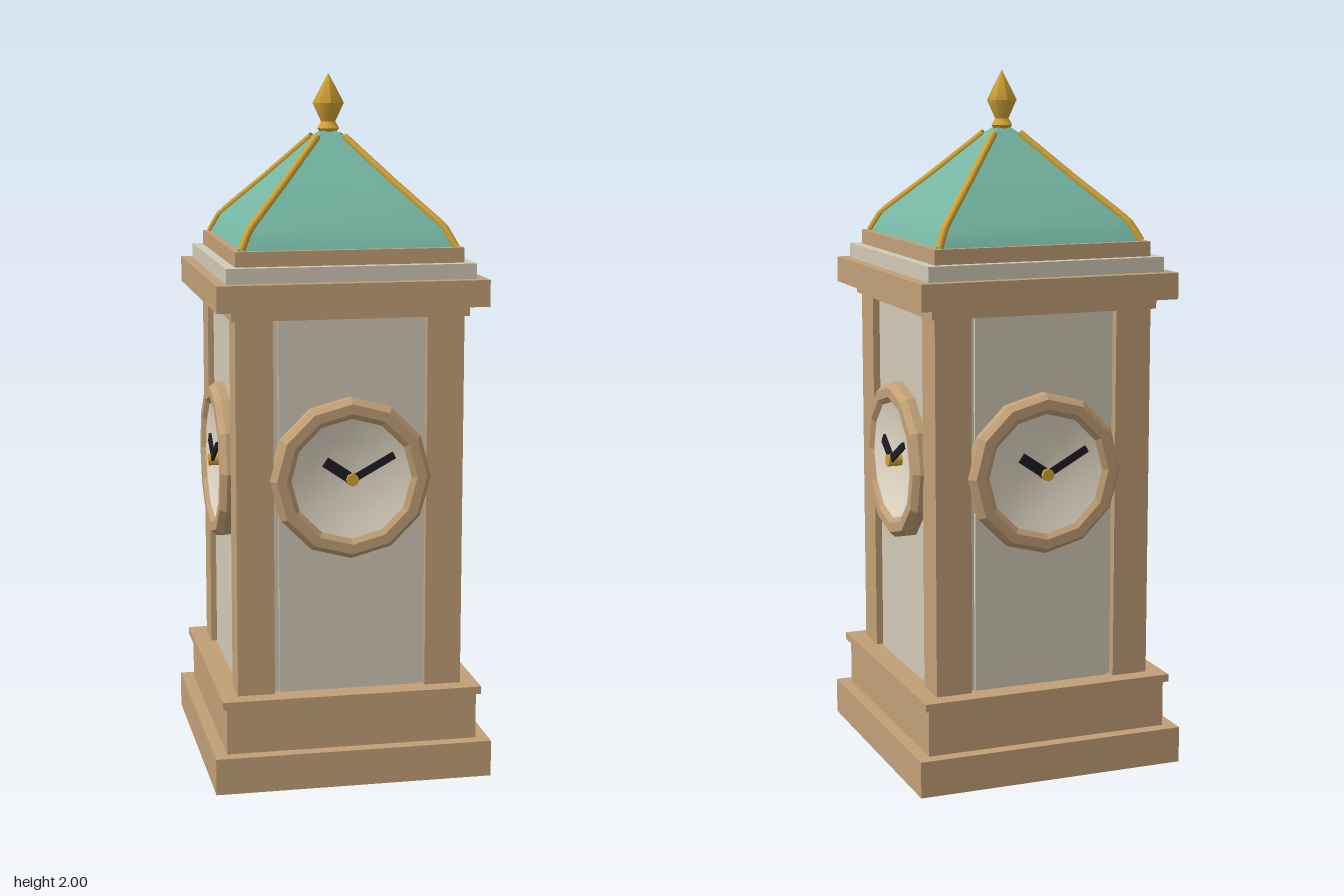
import * as THREE from 'three';
import { toCreasedNormals } from 'three/addons/utils/BufferGeometryUtils.js';

const mat = (name, color) => {
  const m = new THREE.MeshStandardMaterial({ color });
  m.name = name;
  return m;
};
const wood = mat('tan stone', 0xc2a077);
const stone = mat('pale stone', 0xd2cab7);
const copper = mat('green copper', 0x74b5a1);
const gold = mat('gold', 0xd4a537);
gold.side = THREE.DoubleSide;
const cream = mat('cream dial', 0xf0e6d2);
const black = mat('black', 0x1c1c22);

function add(parent, name, geometry, material, x = 0, y = 0, z = 0) {
  const mesh = new THREE.Mesh(geometry, material);
  mesh.name = name;
  mesh.position.set(x, y, z);
  parent.add(mesh);
  return mesh;
}

// Square slab given by half width and its bottom and top heights
const slab = (parent, name, half, y0, y1, material) =>
  add(parent, name, new THREE.BoxGeometry(half * 2, y1 - y0, half * 2), material, 0, (y0 + y1) / 2, 0);

const lathe = (points, sides) =>
  new THREE.LatheGeometry(points.map(([r, h]) => new THREE.Vector2(r, h)), sides);

// Roof profile: half width, height
const roofProfile = [[0.303, 1.525], [0.275, 1.58], [0.16, 1.695], [0.04, 1.82], [0.004, 1.85]];

// One side of the bell-shaped roof, facing +z
function roofSide() {
  const pos = [], idx = [];
  roofProfile.forEach(([r, y], i) => {
    pos.push(-r, y, r, r, y, r);
    if (i) {
      const a = i * 2 - 2;
      idx.push(a, a + 1, a + 3, a, a + 3, a + 2);
    }
  });
  const g = new THREE.BufferGeometry();
  g.setAttribute('position', new THREE.Float32BufferAttribute(pos, 3));
  g.setIndex(idx);
  g.computeVertexNormals();
  return g;
}

// Flat hand starting at the dial centre
function hand(parent, name, dx, dy, width, z) {
  const length = Math.hypot(dx, dy);
  const m = add(parent, name, new THREE.BoxGeometry(length, width, 0.008), black, dx / 2, dy / 2, z);
  m.rotation.z = Math.atan2(dy, dx);
}

// Clock facing +z
function makeClock() {
  const clock = new THREE.Group();
  clock.name = 'clock';
  const ring = lathe([[0.23, 0.3], [0.23, 0.335], [0.215, 0.353], [0.187, 0.353], [0.168, 0.338], [0.168, 0.31]], 12);
  ring.rotateX(Math.PI / 2);
  const flatRing = ring.toNonIndexed();
  flatRing.computeVertexNormals();
  add(clock, 'clockRing', flatRing, wood);
  const dish = lathe([[0.175, 0.342], [0.12, 0.327], [0.06, 0.318], [0, 0.315]], 12);
  dish.rotateX(Math.PI / 2);
  add(clock, 'clockDial', dish, cream);
  hand(clock, 'hourHand', -0.076, 0.052, 0.03, 0.343);
  hand(clock, 'minuteHand', 0.12, 0.066, 0.02, 0.348);
  const hub = new THREE.CylinderGeometry(0.018, 0.018, 0.044, 8);
  hub.rotateX(Math.PI / 2);
  add(clock, 'clockHub', hub, gold, 0, 0, 0.336);
  clock.position.y = 0.883;
  return clock;
}

export function createModel() {
  const tower = new THREE.Group();
  tower.name = 'clockTower';

  // Stepped base
  slab(tower, 'baseStep', 0.4, 0, 0.105, wood);
  slab(tower, 'plinth', 0.363, 0.105, 0.24, wood);
  slab(tower, 'plinthLip', 0.375, 0.24, 0.262, wood);

  // Shaft and corner pillars
  slab(tower, 'shaft', 0.3, 0.262, 1.335, stone);
  for (const sx of [-1, 1]) for (const sz of [-1, 1])
    add(tower, 'cornerPillar', new THREE.BoxGeometry(0.106, 1.073, 0.106), wood, sx * 0.272, 0.7985, sz * 0.272);

  // Cornice
  slab(tower, 'corniceMoulding', 0.337, 1.335, 1.365, wood);
  slab(tower, 'cornice', 0.383, 1.365, 1.44, wood);
  slab(tower, 'upperStep', 0.352, 1.44, 1.483, stone);
  slab(tower, 'roofCurb', 0.323, 1.483, 1.525, wood);

  // Four matching sides: panel, clock, roof face and ridge
  const roofGeo = roofSide();
  const ridgeCurve = new THREE.CatmullRomCurve3(
    roofProfile.slice(0, 4).map(([r, y]) => new THREE.Vector3(r, y, r)), false, 'catmullrom', 0.15);
  const ridgeGeo = new THREE.TubeGeometry(ridgeCurve, 16, 0.011, 6);
  for (let i = 0; i < 4; i++) {
    const side = new THREE.Group();
    side.name = 'towerSide';
    side.rotation.y = i * Math.PI / 2;
    add(side, 'wallPanel', new THREE.BoxGeometry(0.405, 1.073, 0.012), stone, 0, 0.7985, 0.304);
    side.add(makeClock());
    add(side, 'roofSide', roofGeo, copper);
    add(side, 'roofRidge', ridgeGeo, gold);
    tower.add(side);
  }

  // Finial
  const finial = lathe([[0, 1.822], [0.022, 1.828], [0.032, 1.843], [0.021, 1.862], [0.046, 1.915], [0, 2]], 8);
  add(tower, 'finial', toCreasedNormals(finial, 0.9), gold);

  return tower;
}
